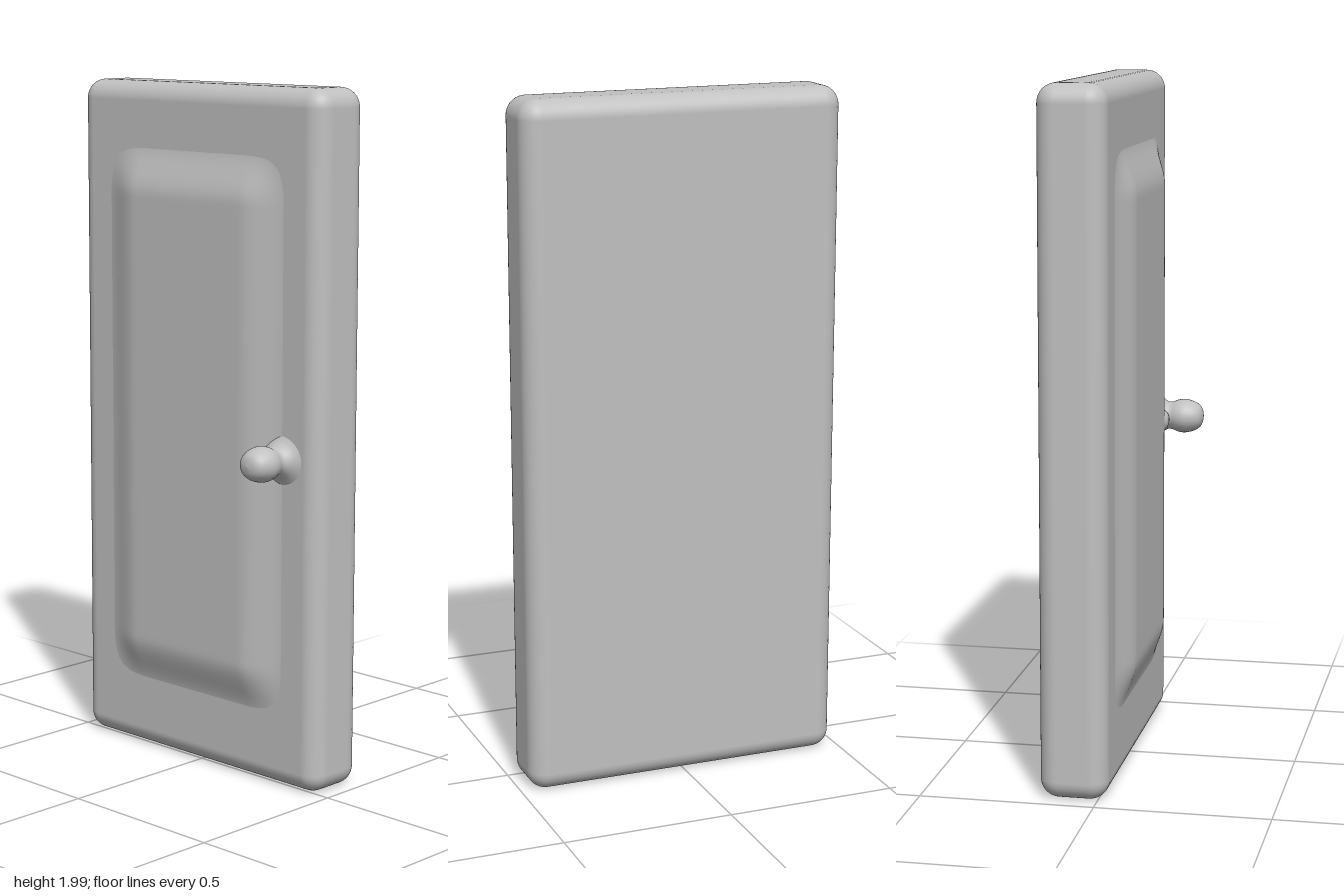
import * as THREE from 'three';
import { RoundedBoxGeometry } from 'three/addons/geometries/RoundedBoxGeometry.js';

const paint = new THREE.MeshStandardMaterial({ color: 0xc0c0c0 });
paint.name = 'pale grey';

function addMesh(parent, name, geometry, x, y, z) {
  const mesh = new THREE.Mesh(geometry, paint);
  mesh.name = name;
  mesh.position.set(x, y, z);
  parent.add(mesh);
  return mesh;
}

// Softly bevelled raised panel: a plane lifted by a smooth ramp around its rim
function raisedPanelGeometry(halfWidth, halfHeight, ramp, lift) {
  const geometry = new THREE.PlaneGeometry(halfWidth * 2, halfHeight * 2, 60, 120);
  const pos = geometry.attributes.position;
  for (let i = 0; i < pos.count; i++) {
    const sx = THREE.MathUtils.smoothstep(halfWidth - Math.abs(pos.getX(i)), 0, ramp);
    const sy = THREE.MathUtils.smoothstep(halfHeight - Math.abs(pos.getY(i)), 0, ramp);
    pos.setZ(i, lift * sx * sy);
  }
  geometry.computeVertexNormals();
  return geometry;
}

export function createModel() {
  const door = new THREE.Group();
  door.name = 'door';

  // Thick slab with rounded edges
  addMesh(door, 'slab', new RoundedBoxGeometry(0.952, 1.994, 0.196, 6, 0.055), 0, 1.003, -0.068);

  // Raised centre panel on the front
  addMesh(door, 'raisedPanel', raisedPanelGeometry(0.37, 0.82, 0.16, 0.041), 0, 1.015, 0.027);

  // Knob: flared foot, short neck and rounded ball, turned about the z axis
  const knob = new THREE.Group();
  knob.name = 'knob';
  knob.position.set(0.338, 0.965, 0.03);
  door.add(knob);
  const profile = new THREE.SplineCurve([
    [0.085, -0.004], [0.062, 0.010], [0.047, 0.028], [0.046, 0.042], [0.054, 0.062],
    [0.056, 0.085], [0.046, 0.115], [0.028, 0.132], [0, 0.138],
  ].map(([r, h]) => new THREE.Vector2(r, h))).getPoints(32);
  profile[profile.length - 1].x = 0;
  const turned = new THREE.LatheGeometry(profile, 32);
  turned.rotateX(Math.PI / 2);
  turned.scale(1, 0.9, 1);
  addMesh(knob, 'knobBody', turned, 0, 0, 0);

  // Small swelling where the knob foot meets the panel
  const swelling = new THREE.SphereGeometry(1, 16, 12);
  swelling.scale(0.035, 0.03, 0.018);
  addMesh(knob, 'knobFootSwelling', swelling, -0.06, -0.005, 0.024);

  return door;
}
